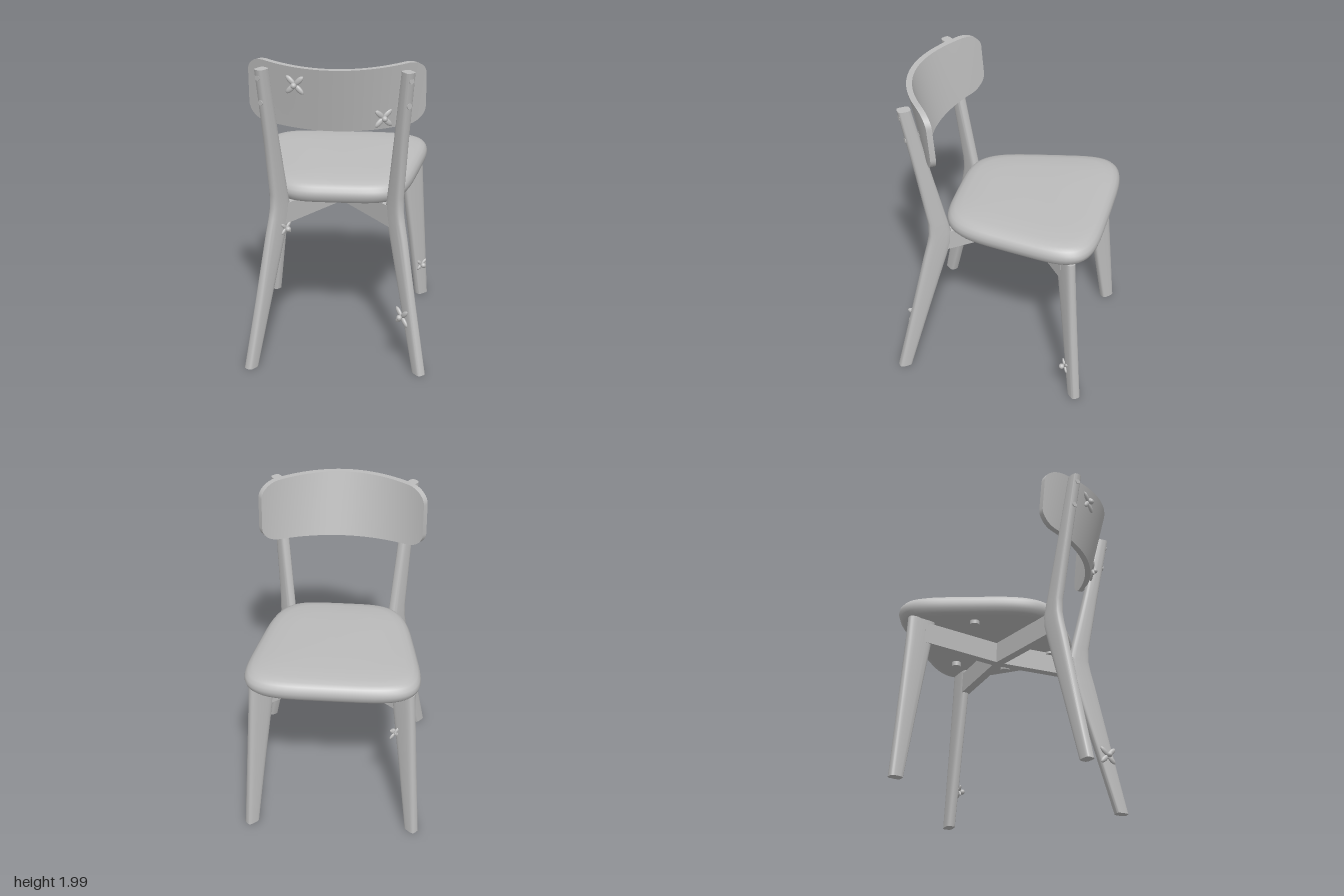
import * as THREE from 'three';
import { toCreasedNormals } from 'three/addons/utils/BufferGeometryUtils.js';

const grey = new THREE.MeshStandardMaterial({ color: 0xbcbcbc });
grey.name = 'grey';

function mesh(geometry, name, parent) {
  const m = new THREE.Mesh(geometry, grey);
  m.name = name;
  parent.add(m);
  return m;
}

// Closed skin through rings of equal point count, capped at both ends.
function loft(rings, crease = 0.7) {
  const n = rings[0].length, pos = [], index = [];
  rings.forEach(r => r.forEach(p => pos.push(...p)));
  for (let k = 0; k < rings.length - 1; k++) {
    for (let i = 0; i < n; i++) {
      const j = (i + 1) % n, a = k * n + i, b = k * n + j;
      index.push(a, b, a + n, b, b + n, a + n);
    }
  }
  [rings[0], rings[rings.length - 1]].forEach((r, end) => {
    const c = pos.length / 3, o = end ? (rings.length - 1) * n : 0;
    pos.push(...[0, 1, 2].map(d => r.reduce((s, p) => s + p[d], 0) / n));
    for (let i = 0; i < n; i++) {
      const j = (i + 1) % n;
      index.push(c, o + (end ? i : j), o + (end ? j : i));
    }
  });
  const g = new THREE.BufferGeometry();
  g.setAttribute('position', new THREE.Float32BufferAttribute(pos, 3));
  g.setIndex(index);
  return toCreasedNormals(g, crease);
}

// Unit superellipse, counter-clockwise.
function squircle(count, power) {
  const f = v => Math.sign(v) * Math.pow(Math.abs(v), 2 / power);
  return Array.from({ length: count }, (_, i) => {
    const t = (i / count) * Math.PI * 2;
    return [f(Math.cos(t)), f(Math.sin(t))];
  });
}

// Leg from levels [y, x, z, half depth]; its section points along (dx, dz).
function leg(levels, dx, dz, side) {
  const len = Math.hypot(dx, dz), ux = side * dx / len, uz = dz / len;
  const section = squircle(24, 3.5);
  return loft(levels.map(([y, x, z, a]) => section.map(([p, q]) =>
    [side * x + ux * a * p + uz * 0.031 * q, y, z + uz * a * p - ux * 0.031 * q])));
}

// Cushion with a tapered, rounded outline and a slight backward slope.
function seatGeometry() {
  const outline = squircle(72, 4.5);
  const profile = [[0.3, 1.05], [0.88, 1.05], [0.95, 1.06], [0.985, 1.083], [1, 1.113], [0.99, 1.138],
    [0.96, 1.16], [0.91, 1.175], [0.82, 1.185], [0.6, 1.192], [0.3, 1.196], [0.05, 1.197]];
  return loft(profile.map(([s, y]) => outline.map(([p, q]) => {
    const dz = -0.505 * q;
    return [s * p * (0.5 - 0.18 * dz), y - 0.03 * dz * s, -0.155 + dz * s];
  })), 0.9);
}

// Curved, reclined back panel with rounded corners.
function backGeometry() {
  const half = 0.51, r = 0.1, rings = [];
  for (let i = 0; i <= 40; i++) {
    const x = half * Math.sin((i / 20 - 1) * Math.PI / 2), q = (x / half) ** 2;
    const c = Math.max(0, Math.abs(x) - half + r);
    const drop = r - Math.sqrt(Math.max(0, r * r - c * c));
    const low = 1.58 + 0.025 * q + drop * 0.95, high = 1.985 + 0.013 * q - drop * 0.95;
    const front = y => {
      const v = (y - 1.58) / 0.41;
      return (0.475 - 0.175 * q) * (1 - v) + (0.588 - 0.255 * q) * v;
    };
    const nx = 1.6 * x, len = Math.hypot(nx, 1), t = 0.036;
    const point = (y, d) => [x + d * nx / len, y, front(y) + d / len];
    rings.push([point(low, 0), point(high, 0), point(high, t), point(low, t)]);
  }
  return loft(rings, 0.5);
}

// Upright board between two plan points.
function rail(from, to, parent) {
  const dx = to[0] - from[0], dz = to[1] - from[1];
  const m = mesh(new THREE.BoxGeometry(Math.hypot(dx, dz), 0.135, 0.055), 'crossRail', parent);
  m.position.set((from[0] + to[0]) / 2, 0.972, (from[1] + to[1]) / 2);
  m.rotation.y = -Math.atan2(dz, dx);
}

// Small four-armed fastener with a round head; it faces +z before turning.
function knob(x, y, z, turn, size, parent) {
  const g = new THREE.Group();
  g.name = 'starKnob';
  for (let i = 0; i < 4; i++) {
    const arm = mesh(new THREE.SphereGeometry(size, 12, 8), 'knobArm', g);
    const a = Math.PI / 4 + i * Math.PI / 2;
    arm.scale.set(0.65, 0.28, 0.2);
    arm.position.set(Math.cos(a) * size * 0.6, Math.sin(a) * size * 0.6, 0);
    arm.rotation.z = a;
  }
  const stem = mesh(new THREE.CylinderGeometry(0.008, 0.008, 0.04, 10), 'knobStem', g);
  stem.rotation.x = Math.PI / 2;
  mesh(new THREE.SphereGeometry(0.018, 14, 10), 'knobHead', g).position.z = 0.02;
  g.position.set(x, y, z);
  g.rotation.y = turn;
  parent.add(g);
}

export function createModel() {
  const root = new THREE.Group();
  root.name = 'chair';
  const chair = new THREE.Group();
  chair.name = 'chairBody';
  chair.rotation.y = 0.128;
  chair.position.set(-0.005, 0, -0.003);
  root.add(chair);

  mesh(seatGeometry(), 'seat', chair);
  mesh(backGeometry(), 'backrest', chair);

  const backLevels = [[0.005, 0.53, 0.578, 0.042], [0.45, 0.452, 0.478, 0.058], [0.86, 0.382, 0.385, 0.075],
    [0.96, 0.364, 0.362, 0.077], [1.03, 0.358, 0.355, 0.072], [1.12, 0.362, 0.366, 0.062],
    [1.5, 0.392, 0.438, 0.049], [1.96, 0.43, 0.525, 0.04]];
  const frontLevels = [[0.005, 0.522, -0.575, 0.043], [0.5, 0.482, -0.527, 0.064],
    [0.9, 0.448, -0.488, 0.083], [1.065, 0.435, -0.474, 0.09]];
  for (const side of [-1, 1]) {
    mesh(leg(backLevels, 0.17, 0.22, side), 'backLeg', chair);
    mesh(leg(frontLevels, 0.44, -0.4, side), 'frontLeg', chair);

    // Bent crossing rails under the seat
    rail([0, -0.1], [side * 0.36, 0.36], chair);
    rail([0, -0.1], [side * 0.43, -0.465], chair);

    // Screw heads on the rear posts
    for (const [y, x, z] of [[1.91, 0.449, 0.547], [1.75, 0.438, 0.522]]) {
      const screw = mesh(new THREE.CylinderGeometry(0.017, 0.017, 0.008, 16), 'screwHead', chair);
      screw.position.set(side * x, y, z);
      screw.rotation.set(Math.PI / 2, 0, -side * 0.66, 'YXZ');
      screw.rotation.y = side * 0.66;
      screw.rotation.z = 0;
    }

    // Pads under the seat
    for (const [x, z] of [[0.22, -0.45], [0.36, -0.15], [0.2, 0.2]]) {
      const pad = mesh(new THREE.CylinderGeometry(0.03, 0.03, 0.03, 16), 'seatPad', chair);
      pad.position.set(side * x, 1.04, z);
    }
  }

  // Fasteners on the panel and legs
  knob(-0.16, 1.88, 0.592, -0.1, 0.06, root);
  knob(0.34, 1.66, 0.437, 0.55, 0.06, root);
  knob(-0.275, 0.88, 0.4, 0.9, 0.04, root);
  knob(0.475, 0.37, 0.465, -0.7, 0.06, root);
  knob(0.45, 0.25, -0.575, 0.7, 0.04, root);
  knob(-0.46, 0.75, -0.455, 0.7, 0.04, root);
  return root;
}
